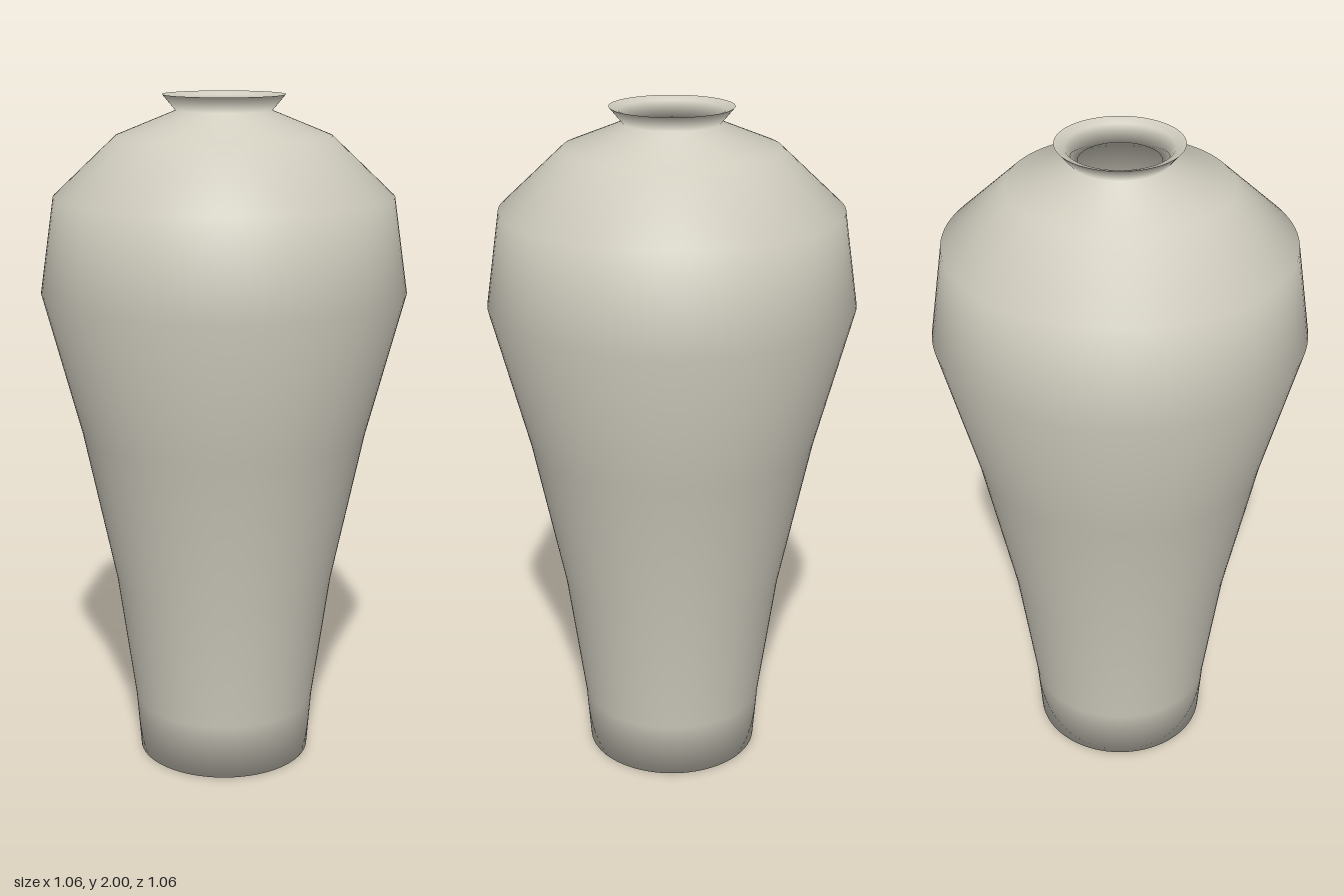
import * as THREE from 'three';

export function createModel() {
  const group = new THREE.Group();
  group.name = 'vase';

  const glaze = new THREE.MeshStandardMaterial({ color: 0xcfccbe });
  glaze.name = 'pale stone glaze';

  const lathe = (name, profile) => {
    const points = profile.map(([r, y]) => new THREE.Vector2(r, y));
    const mesh = new THREE.Mesh(new THREE.LatheGeometry(points, 96), glaze);
    mesh.name = name;
    group.add(mesh);
  };

  // Outer wall: base centre, foot, belly, shoulder, neck and flared lip
  lathe('outerBody', [
    [0, 0], [0.26, 0], [0.273, 0.17], [0.327, 0.56], [0.422, 1.02],
    [0.532, 1.44], [0.491, 1.715], [0.31, 1.885], [0.138, 1.955], [0.176, 2],
  ]);

  // Inner wall: lip down through the throat to the floor
  lathe('innerWall', [
    [0.176, 2], [0.148, 1.99], [0.113, 1.95], [0.295, 1.86], [0.467, 1.7],
    [0.507, 1.44], [0.397, 1.02], [0.302, 0.56], [0.248, 0.17], [0.235, 0.03], [0, 0.03],
  ]);

  return group;
}
